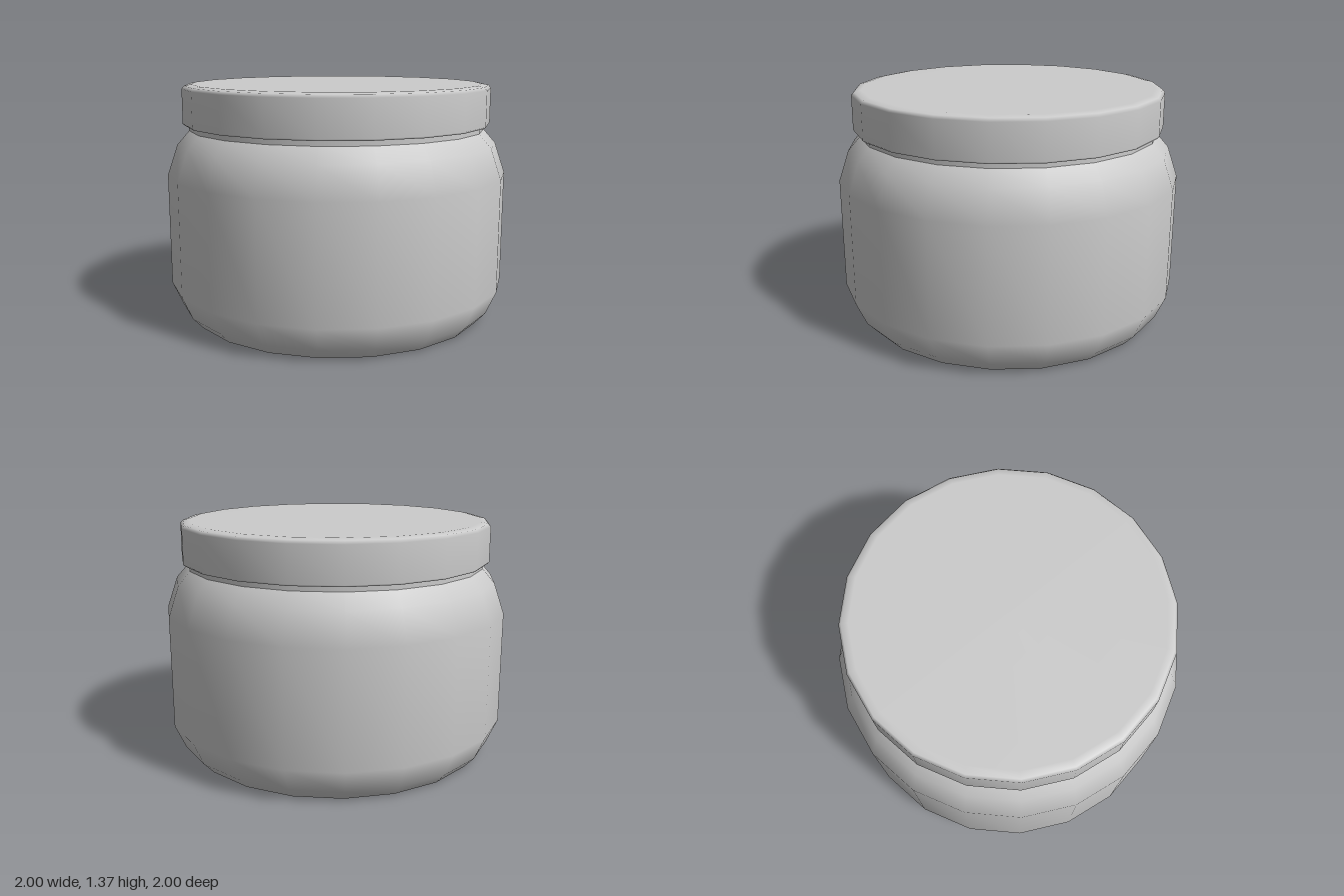
import * as THREE from 'three';
import { mergeGeometries } from 'three/addons/utils/BufferGeometryUtils.js';

const SIDES = 20;
const material = new THREE.MeshStandardMaterial({ color: 0xcccccc });

// Turns each smooth profile run separately, so the edges between runs stay sharp.
function turned(name, runs) {
  const parts = runs.map((run) =>
    new THREE.LatheGeometry(run.map(([r, y]) => new THREE.Vector2(r, y)), SIDES));
  const mesh = new THREE.Mesh(mergeGeometries(parts), material);
  mesh.name = name;
  return mesh;
}

export function createModel() {
  const group = new THREE.Group();
  group.name = 'jar';

  // Body: flat base, rounded wall, flat step to the neck
  group.add(turned('body', [
    [[0, 0], [0.88, 0]],
    [[0.88, 0], [0.94, 0.065], [1, 0.2], [1, 0.85], [0.94, 1.025], [0.87, 1.105]],
  ]));

  // Neck: short straight collar tucked under the lid
  group.add(turned('neck', [
    [[0.87, 1.105], [0.87, 1.15]],
  ]));

  // Lid: flat underside, straight rim, softly rounded top edge
  group.add(turned('lid', [
    [[0, 1.135], [0.895, 1.135]],
    [[0.895, 1.135], [0.905, 1.145], [0.905, 1.345], [0.89, 1.362], [0.85, 1.37], [0, 1.37]],
  ]));

  return group;
}
